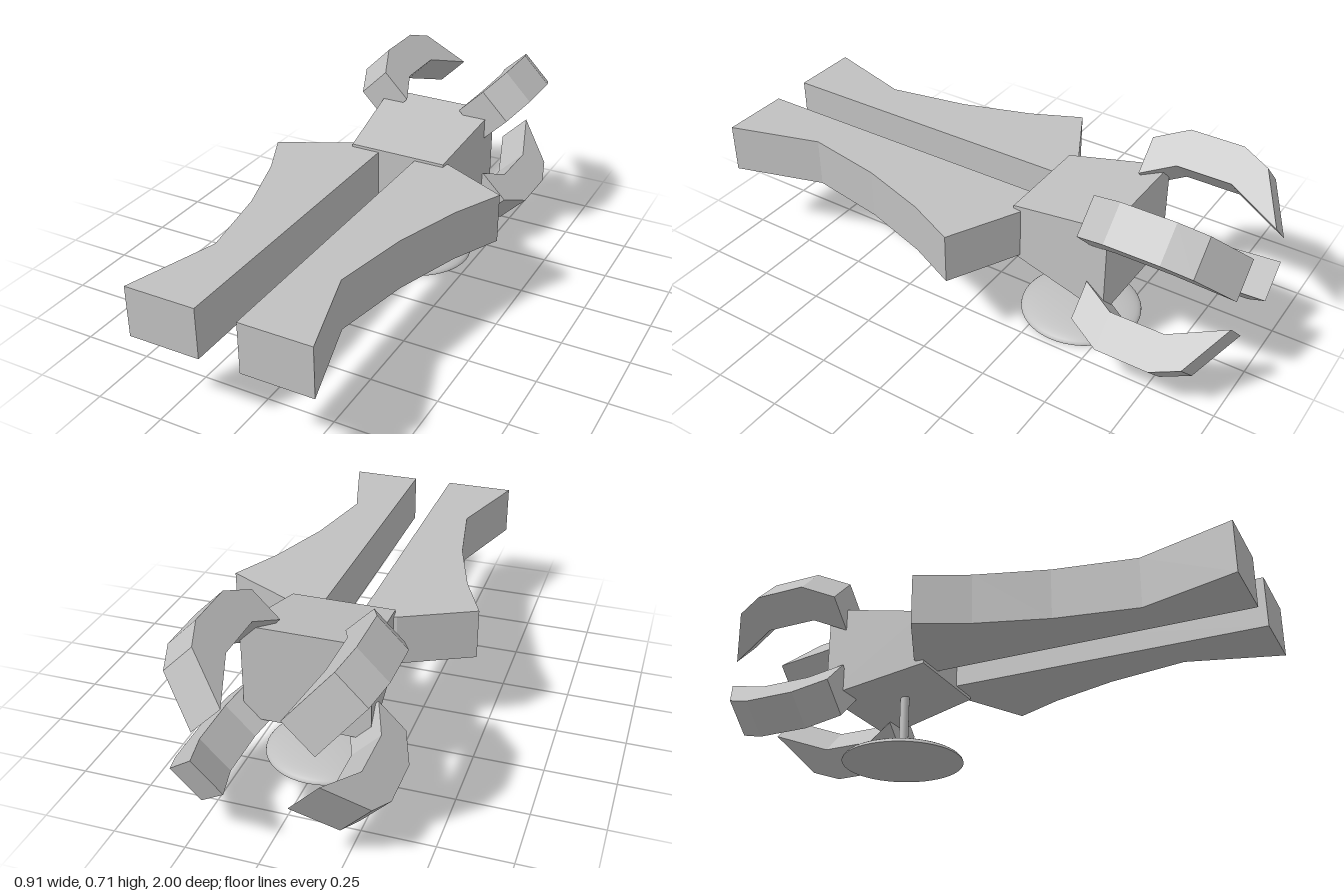
import * as THREE from 'three';

const shapeOf = (pts) => new THREE.Shape(pts.map(([x, y]) => new THREE.Vector2(x, y)));

export function createModel() {
  const model = new THREE.Group();
  const grey = new THREE.MeshStandardMaterial({ color: 0xc0c0c0 });
  grey.name = 'light grey';

  const add = (name, geometry, x = 0, y = 0, z = 0) => {
    const mesh = new THREE.Mesh(geometry, grey);
    mesh.name = name;
    mesh.position.set(x, y, z);
    model.add(mesh);
    return mesh;
  };

  // Body: a block that flares towards the back
  const body = new THREE.BoxGeometry(2, 2, 2);
  const p = body.attributes.position;
  for (let i = 0; i < p.count; i++) {
    const front = p.getZ(i) > 0;
    p.setXYZ(i,
      p.getX(i) * (front ? 0.188 : 0.224) + 0.003,
      p.getY(i) * (front ? 0.1035 : 0.177) + 0.392,
      front ? -0.175 : -0.556);
  }
  body.computeVertexNormals();
  add('body', body);

  // Prongs: mirrored outlines (x, z) extruded downwards
  const prong = [[0.075, 1], [0.335, 1], [0.234, 0.66], [0.288, 0.365],
    [0.37, 0.11], [0.456, -0.075], [0.2, -0.205], [0.075, -0.205]];
  for (const side of [1, -1]) {
    const g = new THREE.ExtrudeGeometry(shapeOf(prong.map(([x, z]) => [x * side, z])),
      { depth: 0.185, bevelEnabled: false });
    g.rotateX(Math.PI / 2);
    add(side > 0 ? 'leftProng' : 'rightProng', g, 0, 0.485, 0);
  }

  // Claws: outline (z, distance from the outer face), set on the four diagonals
  const claw = [[-0.488, -0.065], [-0.488, -0.2], [-0.605, -0.134], [-0.805, -0.134],
    [-1, -0.227], [-0.9, -0.045], [-0.8, 0], [-0.605, 0]];
  for (const sy of [1, -1]) {
    for (const sx of [1, -1]) {
      const g = new THREE.ExtrudeGeometry(shapeOf(claw), { depth: 0.144, bevelEnabled: false });
      g.translate(0, 0, -0.072);
      const along = new THREE.Vector3(0, 0, 1);
      const out = new THREE.Vector3(sx, sy, 0).normalize();
      const across = along.clone().cross(out);
      g.applyMatrix4(new THREE.Matrix4().makeBasis(along, out, across));
      add(`${sy > 0 ? 'upper' : 'lower'}${sx > 0 ? 'Left' : 'Right'}Claw`, g,
        sx * (sy > 0 ? 0.304 : 0.315), sy > 0 ? 0.663 : 0.134, 0);
    }
  }

  // Stand: rod on a shallow dome with a flat underside
  add('standRod', new THREE.CylinderGeometry(0.017, 0.017, 0.25, 24), 0.002, 0.155, -0.354);
  const dome = new THREE.SphereGeometry(0.222, 48, 12, 0, Math.PI * 2, 0, Math.PI / 2);
  dome.scale(1, 0.047 / 0.222, 1);
  add('standBase', dome, 0.002, 0, -0.354);
  const underside = new THREE.CircleGeometry(0.222, 48);
  underside.rotateX(Math.PI / 2);
  add('standUnderside', underside, 0.002, 0, -0.354);

  return model;
}
